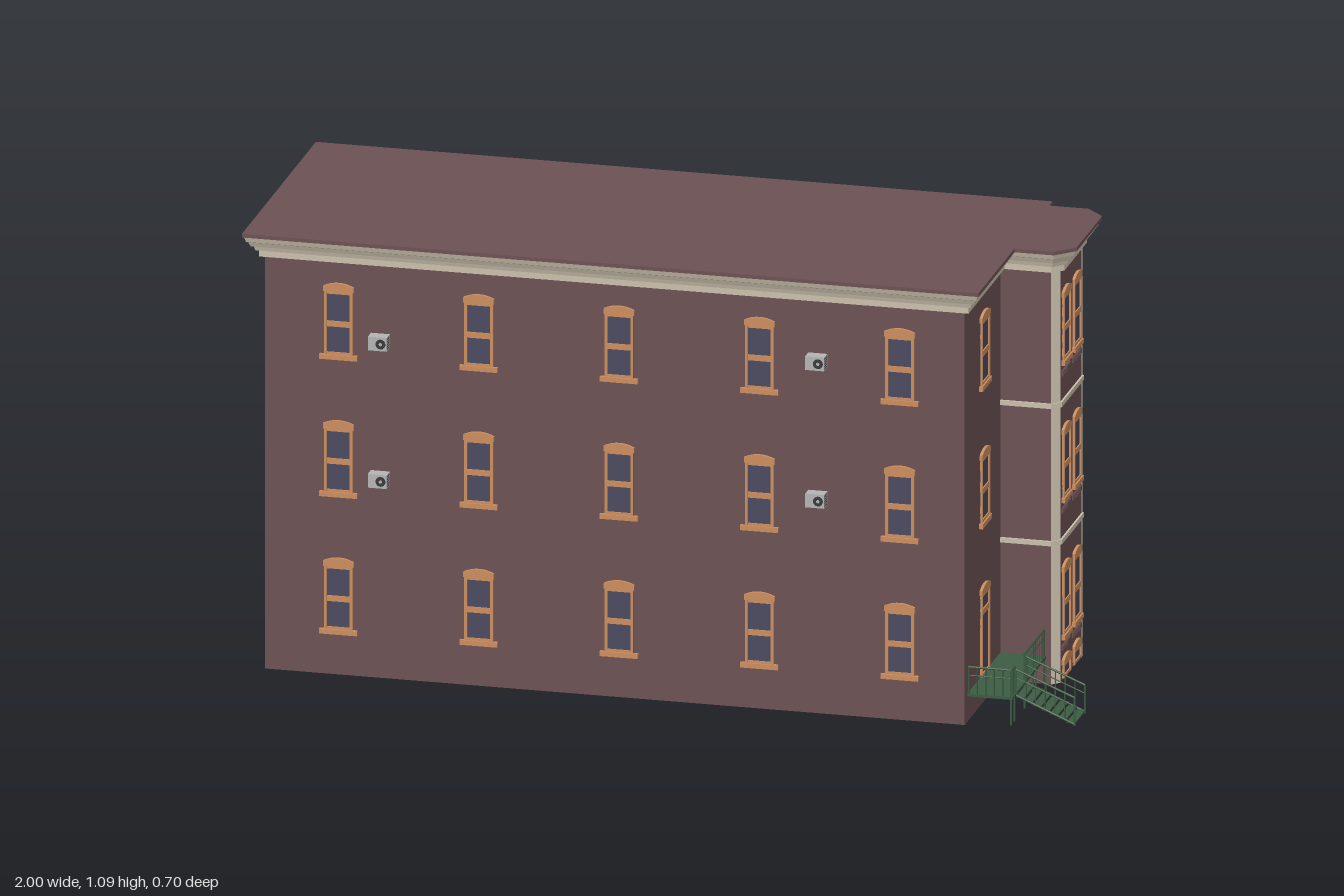
import * as THREE from 'three';

const mat = (color, side = THREE.FrontSide) => new THREE.MeshStandardMaterial({ color, side, flatShading: true });
const M = {
  brick: mat(0x6b5154, THREE.DoubleSide),
  cream: mat(0xcabfab, THREE.DoubleSide),
  wood: mat(0xcc8d5e),
  glass: mat(0x4b4a60),
  iron: mat(0x3c5c42),
  grey: mat(0xb4b4b4),
  dark: mat(0x3a3a3c),
};

function add(parent, name, geo, material, x = 0, y = 0, z = 0) {
  const m = new THREE.Mesh(geo, material);
  m.name = name;
  m.position.set(x, y, z);
  parent.add(m);
  return m;
}
// box given by its minimum and maximum corners
const span = (p, name, material, x0, x1, y0, y1, z0, z1) =>
  add(p, name, new THREE.BoxGeometry(x1 - x0, y1 - y0, z1 - z0), material, (x0 + x1) / 2, (y0 + y1) / 2, (z0 + z1) / 2);

// plans as [x, -z], counter-clockwise
const BAY = [[0.867, 0.035], [0.885, 0.053], [0.885, 0.257], [0.867, 0.275]];
const PLAN = [[-0.955, -0.308], [0.745, -0.308], [0.745, 0.035], ...BAY, [0.745, 0.275], [0.745, 0.307], [-0.955, 0.307]];
const BAY_PLAN = [[0.73, 0.035], ...BAY, [0.73, 0.275]];

// mitred outward offset of a plan
function offset(plan, d) {
  const n = plan.length;
  const normal = (a, b) => {
    const l = Math.hypot(b[0] - a[0], b[1] - a[1]);
    return [(b[1] - a[1]) / l, (a[0] - b[0]) / l];
  };
  return plan.map((p, i) => {
    const u = normal(plan[(i + n - 1) % n], p), v = normal(p, plan[(i + 1) % n]);
    const k = d / (1 + u[0] * v[0] + u[1] * v[1]);
    return [p[0] + k * (u[0] + v[0]), p[1] + k * (u[1] + v[1])];
  });
}

// sweep a profile of [offset, y] round a plan
function sweep(plan, profile) {
  const pos = [];
  const rings = profile.map(([d, y]) => offset(plan, d).map(([x, s]) => [x, y, -s]));
  for (let r = 0; r + 1 < rings.length; r++)
    for (let i = 0; i < plan.length; i++) {
      const j = (i + 1) % plan.length, lo = rings[r], hi = rings[r + 1];
      pos.push(...lo[i], ...lo[j], ...hi[j], ...lo[i], ...hi[j], ...hi[i]);
    }
  const g = new THREE.BufferGeometry();
  g.setAttribute('position', new THREE.Float32BufferAttribute(pos, 3));
  g.computeVertexNormals();
  return g;
}

// curved window head
function headGeometry(w) {
  const s = new THREE.Shape();
  s.moveTo(-w / 2, 0);
  s.lineTo(w / 2, 0);
  s.lineTo(w / 2, 0.013);
  s.quadraticCurveTo(0, 0.03, -w / 2, 0.013);
  return new THREE.ExtrudeGeometry(s, { depth: 0.014, bevelEnabled: false, curveSegments: 8 }).translate(0, 0, -0.007);
}

// opening frame facing +z, base at y = 0; bars are [y0, y1]
function opening(name, w, h, bars, sill, head = true) {
  const g = new THREE.Group(), t = 0.007, a = w / 2;
  g.name = name;
  span(g, 'glass', M.glass, -a, a, 0.002, h, -0.002, 0.002);
  for (const s of [-1, 1]) span(g, 'jamb', M.wood, s * (a - t / 2) - t / 2, s * (a - t / 2) + t / 2, 0, h, -0.006, 0.006);
  for (const [y0, y1] of bars) span(g, 'rail', M.wood, -a + t, a - t, y0, y1, -0.005, 0.005);
  if (sill) span(g, 'sill', M.wood, -sill / 2, sill / 2, 0, 0.012, -0.004, 0.009);
  if (head) add(g, 'head', headGeometry(w + 0.004), M.wood, 0, h - 0.002, 0);
  return g;
}
const sash = (w, sill) => opening('window', w, 0.17, [[0.012, 0.018], [0.081, 0.095], [0.162, 0.17]], sill);

function airConditioner() {
  const g = new THREE.Group();
  g.name = 'airConditioner';
  span(g, 'case', M.grey, -0.023, 0.023, -0.017, 0.017, 0, 0.03);
  add(g, 'fan', new THREE.CylinderGeometry(0.012, 0.012, 0.002, 16).rotateX(Math.PI / 2), M.dark, 0.008, 0, 0.0305);
  add(g, 'fanHub', new THREE.CylinderGeometry(0.004, 0.004, 0.003, 10).rotateX(Math.PI / 2), M.grey, 0.008, 0, 0.031);
  for (let i = 0; i < 5; i++) {
    const y = -0.012 + i * 0.006;
    span(g, 'louver', M.dark, 0.0225, 0.0236, y - 0.001, y + 0.001, 0.004, 0.027);
  }
  return g;
}

// round iron bar between two points
function bar(p, name, a, b, r = 0.002) {
  const A = new THREE.Vector3(...a), B = new THREE.Vector3(...b), d = B.clone().sub(A);
  const m = add(p, name, new THREE.CylinderGeometry(r, r, d.length(), 6), M.iron);
  m.position.copy(A).add(B).multiplyScalar(0.5);
  m.quaternion.setFromUnitVectors(new THREE.Vector3(0, 1, 0), d.normalize());
}
// railing along a base line, with top rail, second rail and balusters
function railing(p, a, b, n, h = 0.066) {
  const up = ([x, y, z], d) => [x, y + d, z];
  bar(p, 'topRail', up(a, h), up(b, h), 0.0025);
  bar(p, 'secondRail', up(a, h - 0.021), up(b, h - 0.021), 0.0015);
  for (let i = 0; i <= n; i++) {
    const q = a.map((v, k) => v + (b[k] - v) * i / n);
    bar(p, 'baluster', q, up(q, h), i % n ? 0.0014 : 0.0025);
  }
}

export function createModel() {
  const model = new THREE.Group();
  const place = (o, x, y, z, turn) => {
    o.position.set(x, y, z);
    o.rotation.y = turn;
    model.add(o);
  };
  const floors = [0.101, 0.442, 0.783];

  // walls, cornice and roof
  add(model, 'walls', sweep(PLAN, [[0, 0], [0, 1.03]]), M.brick);
  add(model, 'cornice', sweep(PLAN, [[0, 1.026], [0.012, 1.026], [0.012, 1.043], [0.019, 1.043], [0.022, 1.053],
    [0.028, 1.055], [0.033, 1.066], [0.037, 1.068], [0.041, 1.08]]), M.cream);
  add(model, 'roofEdge', sweep(PLAN, [[0.041, 1.08], [0.045, 1.081], [0.045, 1.09]]), M.brick);
  const roof = new THREE.Shape(offset(PLAN, 0.045).map(([x, s]) => new THREE.Vector2(x, s)));
  add(model, 'roof', new THREE.ShapeGeometry(roof).rotateX(-Math.PI / 2), M.brick, 0, 1.09, 0);

  // bay corner strips and belt courses
  for (const [z, turn] of [[-0.044, Math.PI / 4], [-0.266, Math.PI * 0.75]])
    add(model, 'cornerStrip', new THREE.BoxGeometry(0.026, 1.028, 0.004), M.cream, 0.876, 0.514, z).rotation.y = turn;
  for (const y of [0.344, 0.685])
    add(model, 'beltCourse', sweep(BAY_PLAN, [[0, y], [0.005, y], [0.005, y + 0.012], [0, y + 0.012]]), M.cream);

  // long side windows
  for (const y of floors)
    for (let i = 0; i < 5; i++) {
      const x = -0.776 + i * 0.341;
      place(sash(0.07, 0.092), x, y, 0.308, 0);
      place(sash(0.07, 0.092), x, y, -0.307, Math.PI);
    }

  // bay windows, basement lights and brick dentils
  for (const z of [-0.103, -0.204]) {
    for (const y of floors) {
      place(sash(0.068, 0.078), 0.885, y, z, Math.PI / 2);
      for (let k = 0; k < 9; k++) {
        const c = z + (k - 4) * 0.0092;
        span(model, 'dentil', M.brick, 0.884, 0.889, y - 0.026, y - 0.013, c - 0.003, c + 0.003);
      }
    }
    place(opening('basementWindow', 0.068, 0.035, [[0, 0.007], [0.028, 0.035]], 0), 0.885, 0.005, z, Math.PI / 2);
  }

  // entrance door and windows above it
  place(opening('door', 0.076, 0.204, [[0, 0.006], [0.151, 0.165], [0.196, 0.204]], 0), 0.745, 0.072, 0.126, Math.PI / 2);
  for (const y of floors.slice(1)) place(sash(0.076, 0.09), 0.745, y, 0.126, Math.PI / 2);

  // air conditioners, repeated on the two upper floors
  for (const dy of [0, -0.341]) {
    for (const [x, y] of [[-0.675, 0.838], [0.388, 0.877]]) place(airConditioner(), x, y + dy, 0.308, 0);
    for (const [x, y] of [[0.5, 0.838], [-0.568, 0.875], [-0.568, 0.805], [0.06, 0.741]])
      place(airConditioner(), x, y + dy, -0.307, Math.PI);
  }

  // entrance landing and stairs
  const stoop = new THREE.Group();
  stoop.name = 'entranceStairs';
  model.add(stoop);
  const zA = 0.152, zB = 0.25, top = 0.07, edge = 0.855;
  span(stoop, 'landing', M.iron, 0.745, edge, top - 0.007, top, -0.034, 0.283);
  for (const z of [-0.03, 0.075, zA, zB, 0.281]) bar(stoop, 'leg', [edge - 0.004, 0, z], [edge - 0.004, top, z], 0.0025);
  railing(stoop, [edge - 0.004, top, 0.281], [edge - 0.004, top, zB], 2);
  railing(stoop, [edge - 0.004, top, zA], [edge - 0.004, top, -0.03], 9);
  railing(stoop, [0.748, top, 0.281], [edge - 0.004, top, 0.281], 5);
  const steps = 7;
  for (let i = 0; i < steps; i++) {
    const x = edge + i * 0.0205, y = top - (i + 1) * 0.0088;
    span(stoop, 'tread', M.iron, x, x + 0.021, y - 0.003, y, zA, zB);
  }
  for (const z of [zA, zB]) {
    railing(stoop, [edge, top - 0.006, z], [0.997, 0.006, z], 6, 0.064);
    bar(stoop, 'stringer', [edge, top - 0.006, z], [0.997, 0.004, z], 0.003);
    bar(stoop, 'endPost', [0.997, 0, z], [0.997, 0.07, z], 0.0025);
  }
  return model;
}
